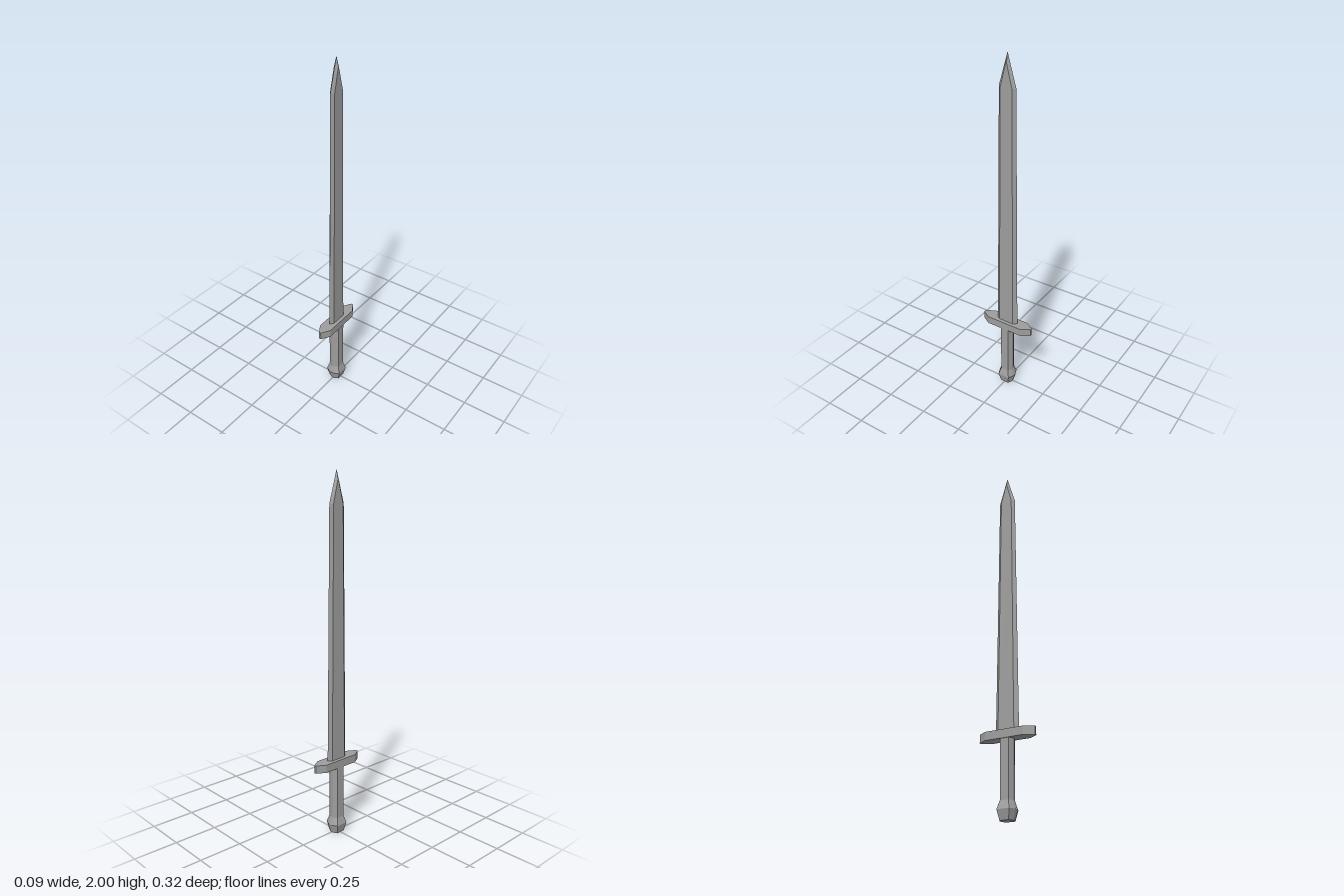
import * as THREE from 'three';

const material = new THREE.MeshStandardMaterial({ color: 0x9d9d9d, flatShading: true });

// Elongated eight-sided section: flat sides at +-x, narrow flat ends at +-z.
function section(y, x, zSide, xEnd, zEnd) {
  return [
    [x, zSide], [x, -zSide], [xEnd, -zEnd], [-xEnd, -zEnd],
    [-x, -zSide], [-x, zSide], [-xEnd, zEnd], [xEnd, zEnd],
  ].map(([px, pz]) => [px, y, pz]);
}

// Joins the sections from bottom to top and closes both ends, with hard facets.
function loft(name, sections) {
  const positions = [];
  const tri = (a, b, c) => {
    const [p, q, r] = [a, b, c].map((v) => new THREE.Vector3(...v));
    if (q.sub(p).cross(r.sub(p)).length() > 1e-9) positions.push(...a, ...b, ...c);
  };
  const n = sections[0].length;
  for (let i = 0; i < sections.length - 1; i++) {
    const low = sections[i], high = sections[i + 1];
    for (let j = 0; j < n; j++) {
      const k = (j + 1) % n;
      tri(low[j], low[k], high[k]);
      tri(low[j], high[k], high[j]);
    }
  }
  const bottom = sections[0], top = sections[sections.length - 1];
  for (let j = 1; j < n - 1; j++) {
    tri(bottom[0], bottom[j + 1], bottom[j]);
    tri(top[0], top[j], top[j + 1]);
  }
  const geometry = new THREE.BufferGeometry();
  geometry.setAttribute('position', new THREE.Float32BufferAttribute(positions, 3));
  geometry.computeVertexNormals();
  const mesh = new THREE.Mesh(geometry, material);
  mesh.name = name;
  return mesh;
}

export function createModel() {
  const sword = new THREE.Group();
  sword.name = 'sword';

  // Flared pommel narrowing up into the grip
  sword.add(loft('pommel', [
    section(0, 0.033, 0.025, 0.009, 0.037),
    section(0.052, 0.045, 0.035, 0.012, 0.05),
    section(0.095, 0.032, 0.024, 0.009, 0.036),
  ]));

  sword.add(loft('grip', [
    section(0.095, 0.032, 0.024, 0.009, 0.036),
    section(0.4, 0.032, 0.024, 0.009, 0.036),
  ]));

  // Flat crossguard with tapered ends
  sword.add(loft('crossguard', [
    section(0.4, 0.037, 0.109, 0.006, 0.16),
    section(0.445, 0.037, 0.109, 0.006, 0.16),
  ]));

  // Bevelled blade: flat cheeks, sharp edges, closing to a point
  sword.add(loft('blade', [
    section(0.445, 0.016, 0.046, 0, 0.067),
    section(1.83, 0.0135, 0.033, 0, 0.05),
    section(1.95, 0.0125, 0.002, 0, 0.0147),
    section(2, 0, 0, 0, 0),
  ]));

  return sword;
}
